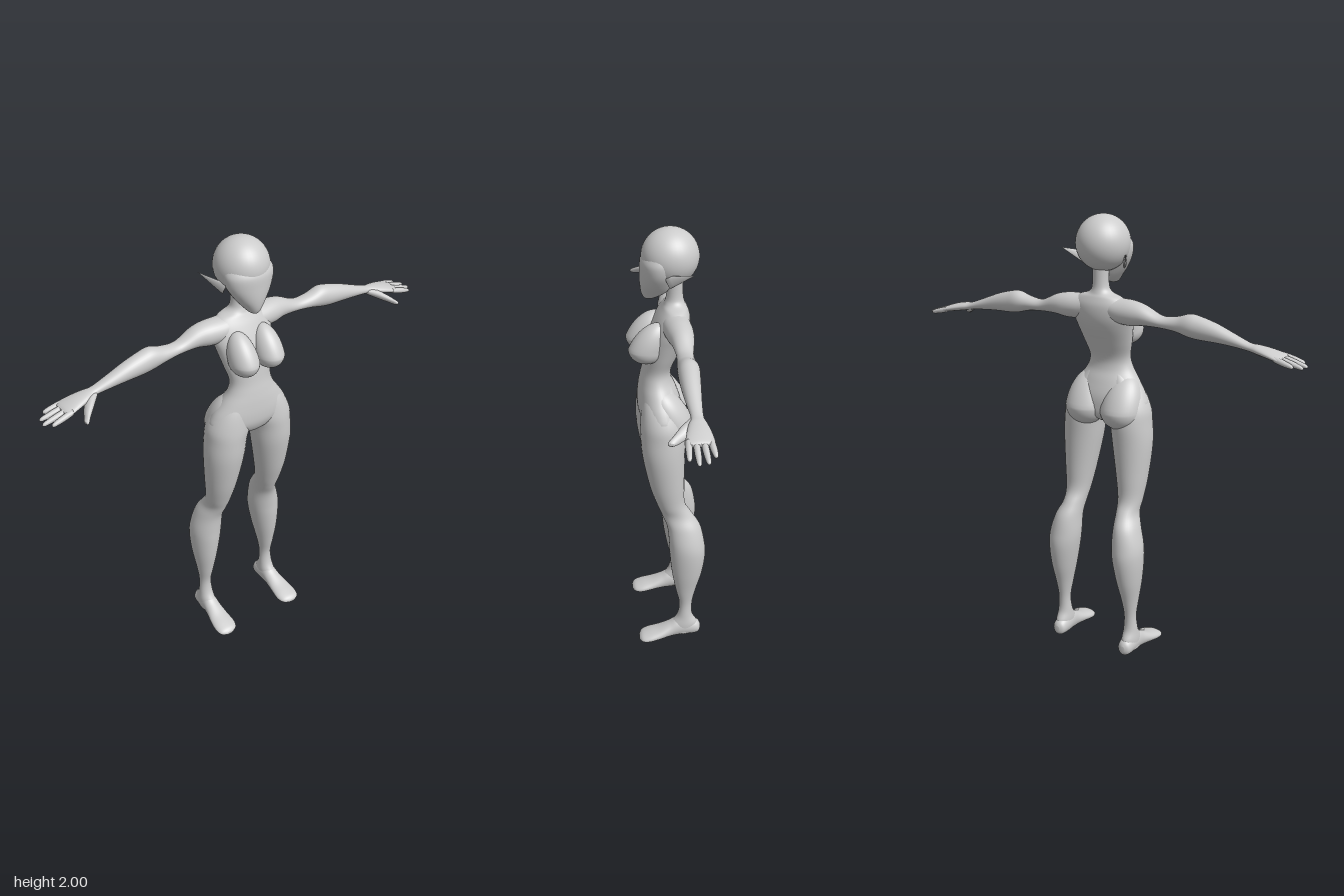
import * as THREE from 'three';
import { mergeVertices } from 'three/addons/utils/BufferGeometryUtils.js';

const clay = new THREE.MeshStandardMaterial({ color: 0xcccccc });
clay.name = 'clay grey';

// Catmull-Rom between rings, one component at a time
function blend(rings, u) {
  const n = rings.length - 1, i = Math.min(Math.floor(u), n - 1), t = u - i;
  const at = (k) => rings[Math.max(0, Math.min(n, k))];
  return rings[0].map((_, c) => {
    const [p, q, r, s] = [at(i - 1)[c], at(i)[c], at(i + 1)[c], at(i + 2)[c]];
    return q + 0.5 * t * (r - p + t * (2 * p - 5 * q + 4 * r - s + t * (3 * (q - r) + s - p)));
  });
}

// Turns all faces outward, so that mirrored parts stay solid
function faceOutward(geo) {
  const p = geo.attributes.position, ix = geo.index.array;
  const a = new THREE.Vector3(), b = new THREE.Vector3(), c = new THREE.Vector3();
  geo.computeBoundingBox();
  const mid = geo.boundingBox.getCenter(new THREE.Vector3());
  let volume = 0;
  for (let i = 0; i < ix.length; i += 3) {
    a.fromBufferAttribute(p, ix[i]).sub(mid);
    b.fromBufferAttribute(p, ix[i + 1]).sub(mid);
    c.fromBufferAttribute(p, ix[i + 2]).sub(mid);
    volume += a.dot(b.cross(c));
  }
  if (volume < 0) {
    for (let i = 0; i < ix.length; i += 3) [ix[i], ix[i + 1]] = [ix[i + 1], ix[i]];
  }
  geo.computeVertexNormals();
  return geo;
}

// Smooth closed body through rings [t, a0, a1, b0, b1]:
// axis y: t=y a=x b=z;  axis x: t=x a=y b=z;  axis z: t=z a=x b=y
function loft(axis, rings, sides = 32, sub = 5) {
  const pos = [], index = [], rows = (rings.length - 1) * sub;
  const put = (t, a, b) => pos.push(...(axis === 'y' ? [a, t, b] : axis === 'x' ? [t, a, b] : [a, b, t]));
  for (let r = 0; r <= rows; r++) {
    const [t, a0, a1, b0, b1] = blend(rings, r / sub);
    for (let s = 0; s < sides; s++) {
      const w = (s / sides) * Math.PI * 2;
      put(t, (a0 + a1) / 2 + ((a1 - a0) / 2) * Math.cos(w), (b0 + b1) / 2 + ((b1 - b0) / 2) * Math.sin(w));
    }
  }
  for (let r = 0; r < rows; r++) {
    for (let s = 0; s < sides; s++) {
      const a = r * sides + s, b = r * sides + ((s + 1) % sides);
      index.push(a, b, a + sides, b, b + sides, a + sides);
    }
  }
  for (const [ring, row, flip] of [[rings[0], 0, 1], [rings[rings.length - 1], rows, 0]]) {
    const centre = pos.length / 3;
    put(ring[0], (ring[1] + ring[2]) / 2, (ring[3] + ring[4]) / 2);
    for (let s = 0; s < sides; s++) {
      const a = row * sides + s, b = row * sides + ((s + 1) % sides);
      index.push(centre, flip ? b : a, flip ? a : b);
    }
  }
  const geo = new THREE.BufferGeometry();
  geo.setAttribute('position', new THREE.Float32BufferAttribute(pos, 3));
  geo.setIndex(index);
  return faceOutward(geo);
}

// Ellipsoid whose upper half is stretched and leans in z
function ball([x, y, z], [rx, ry, rz], stretch = 1, lean = 0) {
  const geo = new THREE.SphereGeometry(1, 36, 28).scale(rx, ry, rz);
  const p = geo.attributes.position;
  for (let i = 0; i < p.count; i++) {
    const h = Math.max(0, p.getY(i));
    p.setY(i, p.getY(i) + h * (stretch - 1));
    p.setZ(i, p.getZ(i) + h * lean);
  }
  geo.deleteAttribute('normal');
  geo.deleteAttribute('uv');
  return faceOutward(mergeVertices(geo.translate(x, y, z)));
}

export function createModel() {
  const model = new THREE.Group();
  model.name = 'figure';
  const add = (name, geo) => {
    const mesh = new THREE.Mesh(geo, clay);
    mesh.name = name;
    model.add(mesh);
  };
  const addPair = (name, geo) => {
    add('left' + name, geo);
    add('right' + name, faceOutward(geo.clone().scale(-1, 1, 1)));
  };

  // Head: round cranium with a plain tapering face
  add('cranium', ball([0, 1.88, -0.02], [0.117, 0.12, 0.121]));
  add('face', loft('y', [
    [1.9, -0.1, 0.1, -0.05, 0.088],
    [1.868, -0.112, 0.112, -0.05, 0.104],
    [1.82, -0.104, 0.104, -0.045, 0.107],
    [1.77, -0.076, 0.076, -0.03, 0.107],
    [1.73, -0.045, 0.045, -0.01, 0.102],
    [1.705, -0.023, 0.023, 0.035, 0.092],
    [1.697, -0.006, 0.006, 0.06, 0.08],
  ]));

  // Pointed ears, swept up and back
  const base = new THREE.Vector3(0.095, 1.804, 0), tip = new THREE.Vector3(0.16, 1.857, -0.1);
  const along = tip.clone().sub(base), length = along.length();
  along.normalize();
  const thin = new THREE.Vector3(1, 0, 0.3).projectOnPlane(along).normalize();
  const wide = new THREE.Vector3().crossVectors(thin, along);
  const ear = new THREE.ConeGeometry(0.029, length, 20, 6).scale(0.3, 1, 1);
  ear.applyMatrix4(new THREE.Matrix4().makeBasis(thin, along, wide));
  ear.translate(...base.lerp(tip, 0.5).toArray());
  ear.deleteAttribute('normal');
  ear.deleteAttribute('uv');
  addPair('Ear', faceOutward(mergeVertices(ear)));

  // Neck, trunk and hips: [y, half width, back z, front z]
  add('torso', loft('y', [
    [1.8, 0.036, -0.075, -0.005],
    [1.71, 0.036, -0.075, -0.004],
    [1.675, 0.052, -0.082, 0.004],
    [1.655, 0.105, -0.092, 0.014],
    [1.62, 0.14, -0.103, 0.035],
    [1.57, 0.143, -0.102, 0.06],
    [1.52, 0.132, -0.088, 0.08],
    [1.45, 0.115, -0.055, 0.093],
    [1.38, 0.098, -0.025, 0.102],
    [1.33, 0.11, -0.025, 0.112],
    [1.28, 0.143, -0.045, 0.12],
    [1.22, 0.182, -0.065, 0.124],
    [1.17, 0.192, -0.07, 0.118],
    [1.125, 0.12, -0.065, 0.092],
    [1.095, 0.035, -0.03, 0.04],
  ].map(([y, w, b, f]) => [y, -w, w, b, f]), 48));

  // Rounded below, drawn smoothly into the trunk above
  addPair('Bust', ball([0.064, 1.495, 0.086], [0.062, 0.066, 0.078], 1.75, -0.7));
  addPair('Buttock', ball([0.09, 1.155, -0.02], [0.094, 0.09, 0.088], 1.7, 0.55));

  // Legs: [y, inner x, outer x, back z, front z]
  addPair('Leg', loft('y', [
    [1.33, 0.03, 0.08, -0.01, 0.08],
    [1.25, 0.015, 0.158, -0.045, 0.106],
    [1.17, 0.002, 0.203, -0.068, 0.119],
    [1.1, 0.023, 0.213, -0.075, 0.121],
    [1.0, 0.037, 0.218, -0.072, 0.115],
    [0.85, 0.064, 0.207, -0.07, 0.085],
    [0.75, 0.082, 0.195, -0.073, 0.053],
    [0.69, 0.092, 0.19, -0.105, 0.03],
    [0.63, 0.096, 0.213, -0.142, 0.008],
    [0.55, 0.095, 0.236, -0.16, 0.001],
    [0.48, 0.102, 0.24, -0.165, -0.002],
    [0.38, 0.12, 0.232, -0.15, -0.012],
    [0.28, 0.141, 0.217, -0.122, -0.03],
    [0.2, 0.153, 0.208, -0.106, -0.046],
    [0.13, 0.149, 0.213, -0.108, -0.037],
    [0.08, 0.145, 0.218, -0.132, -0.005],
    [0.03, 0.15, 0.215, -0.125, 0.0],
  ]));
  // Feet: [z, inner x, outer x, sole y, top y]
  addPair('Foot', loft('z', [
    [-0.146, 0.17, 0.19, 0.035, 0.065],
    [-0.132, 0.15, 0.21, 0.017, 0.085],
    [-0.09, 0.143, 0.217, 0.011, 0.105],
    [-0.04, 0.143, 0.219, 0.01, 0.112],
    [0.0, 0.141, 0.224, 0.01, 0.088],
    [0.05, 0.136, 0.235, 0.006, 0.063],
    [0.1, 0.133, 0.24, 0.0, 0.047],
    [0.132, 0.145, 0.232, 0.002, 0.035],
    [0.146, 0.172, 0.208, 0.008, 0.022],
  ]));

  // Shoulders, arms and palms: [x, low y, high y, back z, front z]
  addPair('Arm', loft('x', [
    [0.01, 1.57, 1.664, -0.085, 0.015],
    [0.09, 1.55, 1.657, -0.098, 0.022],
    [0.16, 1.546, 1.655, -0.1, 0.014],
    [0.22, 1.555, 1.642, -0.094, 0.0],
    [0.3, 1.555, 1.607, -0.08, -0.01],
    [0.37, 1.548, 1.612, -0.08, -0.003],
    [0.43, 1.533, 1.63, -0.086, 0.002],
    [0.48, 1.527, 1.623, -0.083, 0.003],
    [0.55, 1.525, 1.603, -0.076, 0.0],
    [0.63, 1.52, 1.572, -0.068, -0.008],
    [0.7, 1.512, 1.546, -0.064, -0.015],
    [0.74, 1.504, 1.541, -0.073, 0.0],
    [0.79, 1.495, 1.531, -0.083, 0.014],
    [0.835, 1.488, 1.517, -0.088, 0.023],
    [0.85, 1.494, 1.508, -0.08, 0.016],
  ]));
  addPair('Thumb', loft('x', [
    [0.695, 1.512, 1.535, -0.04, -0.015],
    [0.735, 1.49, 1.53, -0.04, 0.027],
    [0.77, 1.475, 1.509, 0.003, 0.06],
    [0.79, 1.468, 1.493, 0.04, 0.081],
    [0.8, 1.473, 1.485, 0.058, 0.078],
  ], 16));
  // Fingers: [tip x, root z, tip z]
  [[0.905, -0.073, -0.081], [0.935, -0.046, -0.051], [0.94, -0.018, -0.016], [0.915, 0.009, 0.017]].forEach(([end, z0, z1], k) => {
    const ring = (t, r) => {
      const x = 0.82 + (end - 0.82) * t, y = 1.504 - (x - 0.82) * 0.24, z = z0 + (z1 - z0) * t;
      return [x, y - r, y + r, z - r, z + r];
    };
    addPair('Finger' + (k + 1), loft('x', [ring(0, 0.012), ring(0.4, 0.013), ring(0.75, 0.011), ring(0.94, 0.008), ring(1, 0.003)], 14, 4));
  });

  return model;
}
